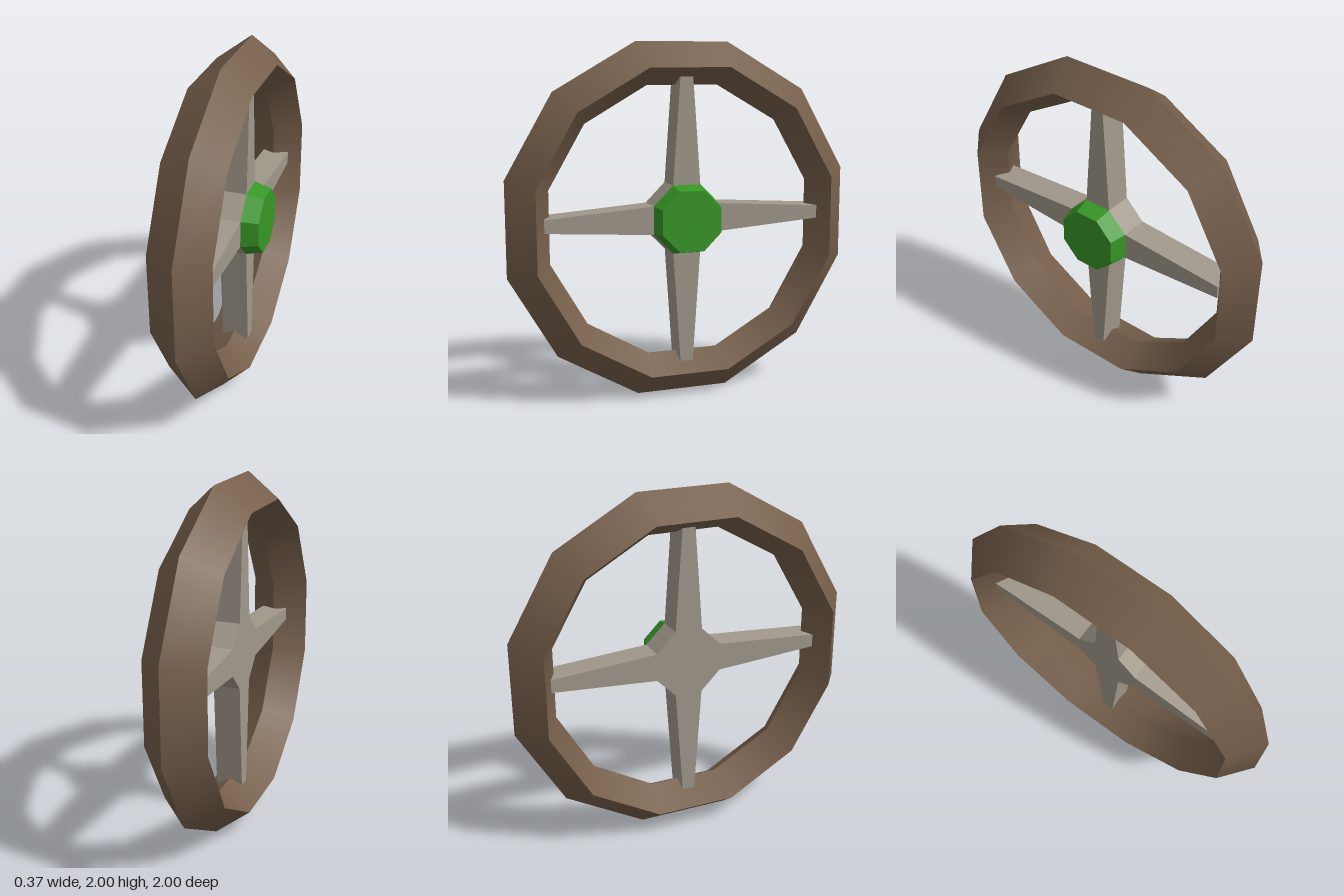
import * as THREE from 'three';

// Wheel with a diamond-section rim, a four-spoke cross and a faceted hub cap; the axle runs along x.
export function createModel() {
  const model = new THREE.Group();
  model.name = 'wheel';

  const wood = new THREE.MeshStandardMaterial({ color: 0x765f4b });
  wood.name = 'brownRim';
  const metal = new THREE.MeshStandardMaterial({ color: 0xa1988b });
  metal.name = 'greySpokes';
  metal.flatShading = true;
  const paint = new THREE.MeshStandardMaterial({ color: 0x379726 });
  paint.name = 'greenCap';
  paint.flatShading = true;

  // Rim: twelve sides, smooth around the wheel, sharp between the four faces of its section
  const rim = new THREE.Group();
  rim.name = 'rim';
  const section = [[0.86, -0.185], [1, 0.005], [0.86, 0.16], [0.763, 0.003]]; // [apothem, x]
  const names = ['rimOuterRight', 'rimOuterLeft', 'rimInnerLeft', 'rimInnerRight'];
  const corners = section.map(([r, x]) => new THREE.Vector2(r / Math.cos(Math.PI / 12), x));
  corners.forEach((corner, i) => {
    const face = new THREE.LatheGeometry([corner, corners[(i + 1) % 4]], 12, Math.PI / 12);
    face.rotateZ(-Math.PI / 2);
    const mesh = new THREE.Mesh(face, wood);
    mesh.name = names[i];
    rim.add(mesh);
  });
  rim.position.y = 1;
  model.add(rim);

  // Spokes: one cross-shaped plate whose middle is an octagon
  const hubY = 1.02;
  const hubApothem = 0.193;
  const baseHalf = 0.08;
  const tipHalf = 0.037;
  const reach = [0.805, 0.79, 0.805, 0.825];
  const outline = [];
  reach.forEach((length, i) => {
    const arm = [[hubApothem, -baseHalf], [length, -tipHalf], [length, tipHalf], [hubApothem, baseHalf]];
    for (const [u, v] of arm) {
      outline.push(new THREE.Vector2(u, v).rotateAround(new THREE.Vector2(), i * Math.PI / 2));
    }
  });
  const cross = new THREE.ExtrudeGeometry(new THREE.Shape(outline), { depth: 0.157, bevelEnabled: false });
  cross.rotateY(Math.PI / 2);
  const spokes = new THREE.Mesh(cross, metal);
  spokes.name = 'spokes';
  spokes.position.set(-0.07, hubY, 0);
  model.add(spokes);

  // Hub cap: tapered octagon on the left side of the cross
  const toCorner = 1 / Math.cos(Math.PI / 8);
  const capShape = new THREE.CylinderGeometry(0.17 * toCorner, hubApothem * toCorner, 0.097, 8, 1, false, Math.PI / 8);
  capShape.rotateZ(-Math.PI / 2);
  const cap = new THREE.Mesh(capShape, paint);
  cap.name = 'hubCap';
  cap.position.set(0.1355, hubY, 0);
  model.add(cap);

  return model;
}
